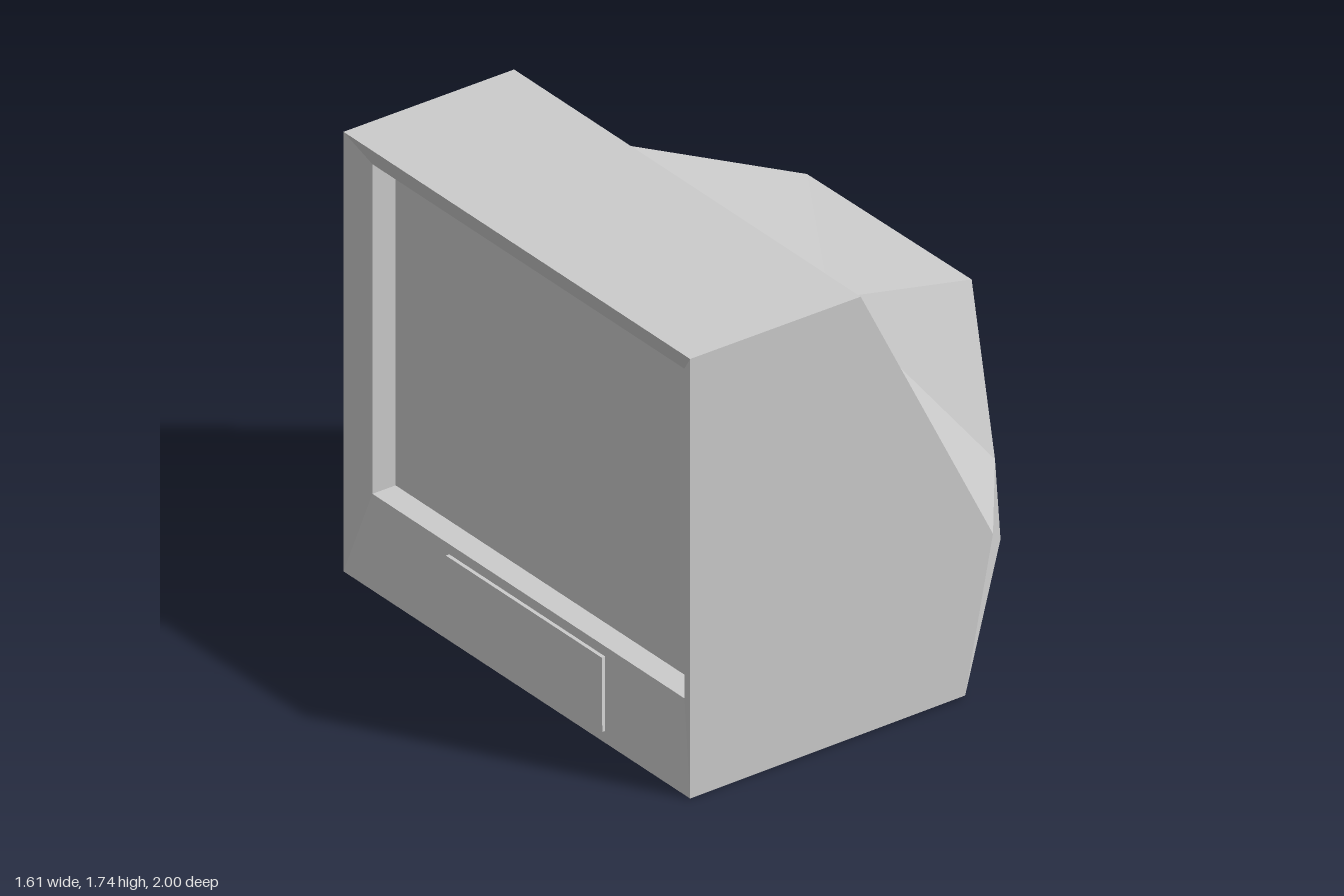
import * as THREE from 'three';

const material = new THREE.MeshStandardMaterial({ color: 0xcccccc, flatShading: true });

// Flat-shaded mesh from convex polygons, corners counter-clockwise from outside
function polyMesh(name, polygons) {
  const pos = [];
  for (const p of polygons) {
    for (let i = 1; i < p.length - 1; i++) pos.push(...p[0], ...p[i], ...p[i + 1]);
  }
  const geometry = new THREE.BufferGeometry();
  geometry.setAttribute('position', new THREE.Float32BufferAttribute(pos, 3));
  geometry.computeVertexNormals();
  const mesh = new THREE.Mesh(geometry, material);
  mesh.name = name;
  return mesh;
}

// Four-cornered ring facing -x: bottom edge (x, y, half width), then top edge
const ring = (x0, y0, z0, x1, y1, z1) => [[x0, y0, -z0], [x0, y0, z0], [x1, y1, z1], [x1, y1, -z1]];
const rect = (x, y0, y1, z) => ring(x, y0, z, x, y1, z);

// Quads joining an outer ring to the next ring
const band = (a, b) => a.map((p, i) => {
  const j = (i + 1) % a.length;
  return [p, a[j], b[j], b[i]];
});

export function createModel() {
  const group = new THREE.Group();
  group.name = 'television';

  // Cabinet: side profile swept across the width, left open at the screen
  const profile = [[-0.8, 0], [0.385, 0.01], [0.505, 0.61], [-0.065, 1.74], [-0.8, 1.74]];
  const near = profile.map(([x, y]) => [x, y, 1]);
  const far = profile.map(([x, y]) => [x, y, -1]);
  const shell = [near, [...far].reverse()];
  for (let i = 0; i < 4; i++) shell.push([near[i], far[i], far[i + 1], near[i + 1]]);
  group.add(polyMesh('cabinet', shell));

  // Bevelled frame, stepped recess and screen
  const outer = rect(-0.8, 0, 1.74, 1);
  const inner = rect(-0.75, 0.335, 1.64, 0.9);
  const glass = rect(-0.65, 0.335, 1.64, 0.9);
  group.add(polyMesh('bezel', band(outer, inner)));
  group.add(polyMesh('screenRecess', band(inner, glass)));
  group.add(polyMesh('screen', [glass]));

  // Raised control panel on the lower bevel
  const panelBase = ring(-0.79, 0.04, 0.5, -0.75, 0.3, 0.45);
  const panelFace = ring(-0.805, 0.04, 0.5, -0.77, 0.3, 0.45);
  group.add(polyMesh('controlPanel', [panelFace, ...band(panelBase, panelFace)]));

  // Faceted tube housing; points ending in 2 are on the -z side
  const A = [0.02, 1.57, 0.705], A2 = [0.02, 1.57, -0.705];
  const B = [0.805, 1.28, 0.475], B2 = [0.805, 1.27, -0.475];
  const C = [0.76, 0.67, 0.67], C2 = [0.775, 0.67, -0.675];
  const D = [0.78, 0.35, 0.675], D2 = [0.78, 0.35, -0.675];
  const E = [0.385, 0.01, 1], E2 = [0.385, 0.01, -1];
  const F = [0.505, 0.61, 1], F2 = [0.505, 0.61, -1];
  group.add(polyMesh('tubeHousing', [
    [A, B, B2, A2], [E, E2, D2, D],
    [A, F, C], [A, C, B], [F, E, C], [E, D, C],
    [A2, B2, F2], [B2, C2, F2], [C2, D2, F2], [D2, E2, F2],
    [D, D2, C2], [D, C2, B2], [D, B2, C], [C, B2, B],
  ]));

  return group;
}
